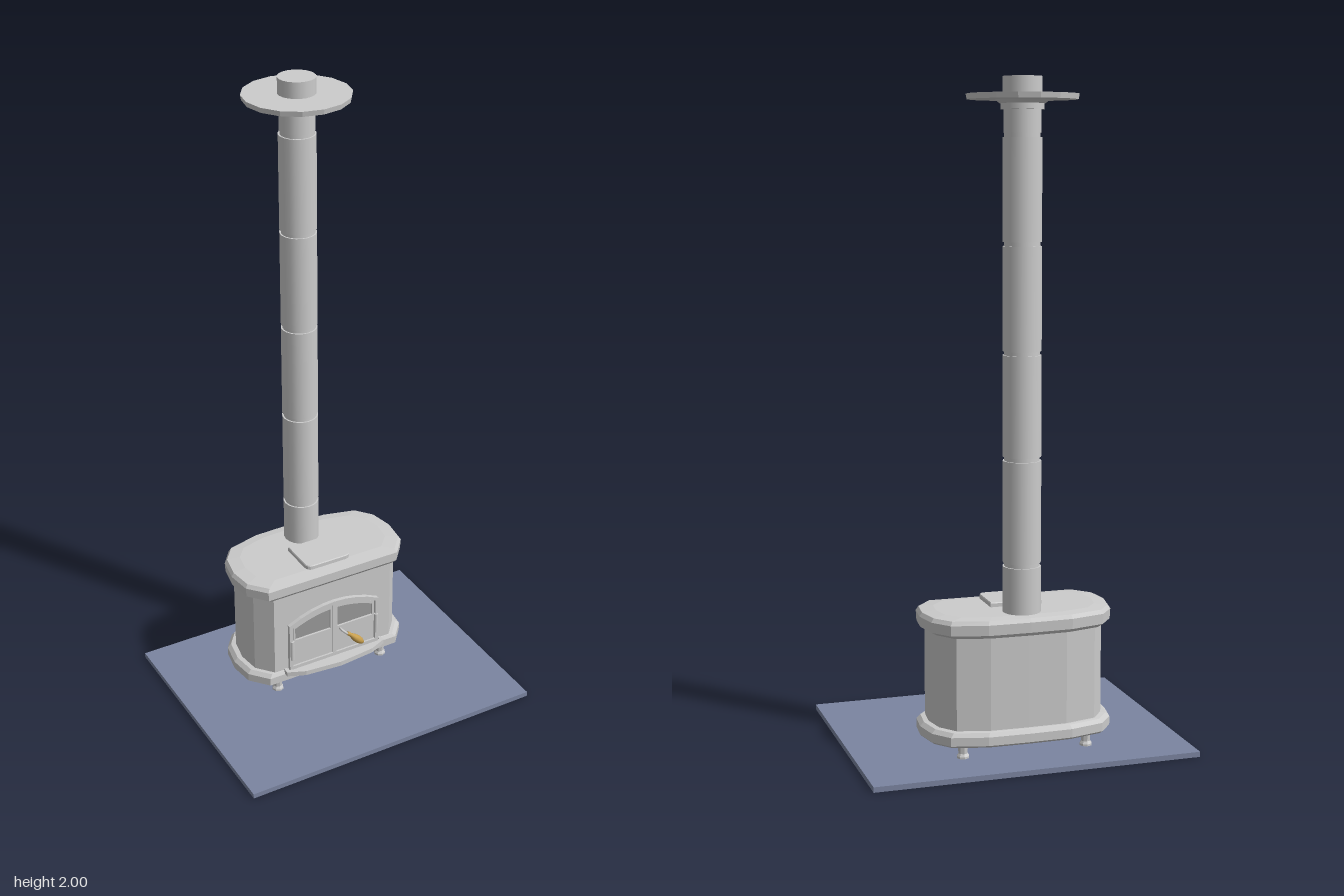
import * as THREE from 'three';

const grey = new THREE.MeshStandardMaterial({ color: 0xcccccc, flatShading: true });
const smoothGrey = new THREE.MeshStandardMaterial({ color: 0xcccccc });
const slate = new THREE.MeshStandardMaterial({ color: 0x7b85a1 });
const brass = new THREE.MeshStandardMaterial({ color: 0xc9a04e });
const glass = new THREE.MeshStandardMaterial({ color: 0x999999 });

const CX = -0.004; // stove centre line
const PIPE_Z = -0.212;

// Half of the stove's plan, front to back, relative to its centre
const half = [[0.235, 0.153], [0.285, 0.094], [0.295, 0.014], [0.28, -0.066], [0.237, -0.122], [0.13, -0.15]];
const plan = [...half, [0, -0.153], ...half.map(([x, z]) => [-x, z]).reverse()];

// Stacks inset copies of the plan: rings are [inset x, inset z, y], bottom to top
function loft(rings) {
  const pos = [], idx = [], n = plan.length;
  for (const [dx, dz, y] of rings)
    for (const [x, z] of plan) pos.push(x * (1 - dx / 0.295), y, z * (1 - dz / 0.153));
  for (let r = 0; r < rings.length - 1; r++)
    for (let i = 0; i < n; i++) {
      const a = r * n + i, b = r * n + (i + 1) % n;
      idx.push(a, b, b + n, a, b + n, a + n);
    }
  const top = (rings.length - 1) * n;
  for (let i = 1; i < n - 1; i++) idx.push(0, i + 1, i, top, top + i, top + i + 1);
  const g = new THREE.BufferGeometry();
  g.setAttribute('position', new THREE.Float32BufferAttribute(pos, 3));
  g.setIndex(idx);
  const flat = g.toNonIndexed();
  flat.computeVertexNormals();
  return flat;
}

// Outline with a flat bottom and an arched top
function archPoints(x0, x1, bottom, peak) {
  const pts = [[x0, bottom], [x1, bottom]];
  for (let i = 0; i <= 8; i++) {
    const x = x1 + (x0 - x1) * i / 8;
    pts.push([x, peak - 1.58 * x * x]);
  }
  return pts.map(([x, y]) => new THREE.Vector2(x, y));
}

function archPanel(outer, hole, depth) {
  const shape = new THREE.Shape(archPoints(...outer));
  if (hole) shape.holes.push(new THREE.Path(archPoints(...hole)));
  return new THREE.ExtrudeGeometry(shape, { depth, bevelEnabled: false });
}

export function createModel() {
  const model = new THREE.Group();
  const add = (name, geometry, material, x = 0, y = 0, z = 0, parent = model) => {
    const mesh = new THREE.Mesh(geometry, material);
    mesh.name = name;
    mesh.position.set(x, y, z);
    parent.add(mesh);
    return mesh;
  };

  add('hearthPad', new THREE.BoxGeometry(1, 0.016, 0.8), slate, 0, 0.008, 0);

  // Firebox between two overhanging slabs
  add('bottomSlab', loft([[0.008, 0.008, 0.055], [0, 0, 0.062], [0, 0, 0.088], [0.012, 0.006, 0.1], [0.03, 0.012, 0.102]]), grey, CX, 0, -0.14);
  add('firebox', loft([[0.027, 0.013, 0.09], [0.027, 0.013, 0.4]]), grey, CX, 0, -0.135);
  add('topSlab', loft([[0.02, 0.008, 0.384], [0.002, 0.001, 0.394], [0, 0, 0.425], [0.008, 0.006, 0.437], [0.05, 0.035, 0.441]]), grey, CX, 0, -0.14);

  // Feet
  const foot = [[0, 0], [0.019, 0], [0.019, 0.008], [0.014, 0.016], [0.016, 0.045], [0, 0.045]]
    .map(([r, y]) => new THREE.Vector2(r, y));
  for (const sx of [-1, 1])
    for (const z of [-0.018, -0.234])
      add('foot', new THREE.LatheGeometry(foot, 8), grey, CX + sx * 0.193, 0.014, z);

  // Cooking lid on the top
  const lid = new THREE.Shape();
  lid.moveTo(-0.078, 0.145);
  lid.lineTo(-0.078, 0.04);
  lid.quadraticCurveTo(-0.078, 0.018, -0.06, 0.018);
  lid.lineTo(0.06, 0.018);
  lid.quadraticCurveTo(0.078, 0.018, 0.078, 0.04);
  lid.lineTo(0.078, 0.145);
  const lidGeo = new THREE.ExtrudeGeometry(lid, { depth: 0.013, bevelThickness: 0.003, bevelSize: 0.002, bevelSegments: 1, curveSegments: 4 });
  lidGeo.rotateX(-Math.PI / 2);
  add('topLid', lidGeo, grey, CX, 0.439, 0);

  // Doors: arched frame, two leaves with windows, hinges
  const doors = new THREE.Group();
  doors.name = 'doors';
  doors.position.x = CX;
  model.add(doors);
  add('doorFrame', archPanel([-0.165, 0.165, 0.1, 0.315], [-0.153, 0.153, 0.112, 0.302], 0.018), grey, 0, 0, 0, doors);
  for (const s of [-1, 1]) {
    const span = (a, b) => (s > 0 ? [a, b] : [-b, -a]);
    add('doorLeaf', archPanel([...span(0.002, 0.15), 0.114, 0.299], [...span(0.013, 0.143), 0.21, 0.287], 0.013), grey, 0, 0, 0.001, doors);
    add('windowPane', archPanel([...span(0.01, 0.146), 0.206, 0.29], null, 0.002), glass, 0, 0, 0.005, doors);
    add('hinge', new THREE.CylinderGeometry(0.007, 0.007, 0.072, 10), smoothGrey, s * 0.156, 0.176, 0.017, doors);
  }
  add('doorStrip', new THREE.BoxGeometry(0.012, 0.19, 0.006), grey, 0, 0.208, 0.015, doors);

  // Ash shelf with a raised rim
  const shelfOutline = k => [[-0.181, -0.01], [-0.181, 0.027], [-0.124, 0.051], [0, 0.063], [0.124, 0.051], [0.181, 0.027], [0.181, -0.01]]
    .map(([x, z]) => new THREE.Vector2(x * (1 - k / 0.181), z > 0 ? -(z - k) : -z));
  const rim = new THREE.Shape(shelfOutline(0));
  rim.holes.push(new THREE.Path(shelfOutline(0.01)));
  const shelf = new THREE.Shape(shelfOutline(0));
  for (const [name, s, y, depth] of [['ashShelf', shelf, 0.088, 0.011], ['ashShelfRim', rim, 0.099, 0.005]]) {
    const g = new THREE.ExtrudeGeometry(s, { depth, bevelEnabled: false });
    g.rotateX(-Math.PI / 2);
    add(name, g, grey, CX, y, 0);
  }

  // Door handle: bent stem and turned brass grip
  const stem = new THREE.CatmullRomCurve3([[0.018, 0.2, 0.012], [0.018, 0.2, 0.026], [0.026, 0.192, 0.032], [0.042, 0.176, 0.032]]
    .map(p => new THREE.Vector3(...p)));
  add('handleStem', new THREE.TubeGeometry(stem, 12, 0.004, 8), smoothGrey);
  const gripProfile = [[0, 0], [0.006, 0], [0.007, 0.008], [0.006, 0.014], [0.011, 0.035], [0.013, 0.052], [0.011, 0.068], [0.006, 0.079], [0, 0.081]]
    .map(([r, y]) => new THREE.Vector2(r, y));
  const grip = add('handleGrip', new THREE.LatheGeometry(gripProfile, 12), brass, 0.037, 0.184, 0.032);
  grip.rotation.z = -Math.PI * 0.75;

  // Flue pipe sections with a narrow groove at every joint
  const flue = new THREE.Group();
  flue.name = 'flue';
  flue.position.z = PIPE_Z;
  model.add(flue);
  const joints = [0.435, 0.585, 0.9, 1.21, 1.525, 1.835, 1.915];
  for (let i = 0; i < joints.length - 1; i++) {
    const h = joints[i + 1] - joints[i] - 0.012, r = i === 5 ? 0.054 : 0.057;
    add('pipeSection', new THREE.CylinderGeometry(r, r, h, 20, 1), smoothGrey, 0, (joints[i] + joints[i + 1]) / 2, 0, flue);
  }
  add('pipeCore', new THREE.CylinderGeometry(0.052, 0.052, 1.5, 20), smoothGrey, 0, 1.185, 0, flue);
  add('lowerCollar', new THREE.CylinderGeometry(0.062, 0.062, 0.018, 20), smoothGrey, 0, 1.916, 0, flue);
  add('upperCollar', new THREE.CylinderGeometry(0.08, 0.066, 0.012, 20), smoothGrey, 0, 1.93, 0, flue);
  add('ceilingPlate', new THREE.CylinderGeometry(0.163, 0.16, 0.016, 16), grey, 0, 1.943, 0, flue);
  add('pipeTop', new THREE.CylinderGeometry(0.057, 0.057, 0.06, 20), smoothGrey, 0, 1.97, 0, flue);

  return model;
}
